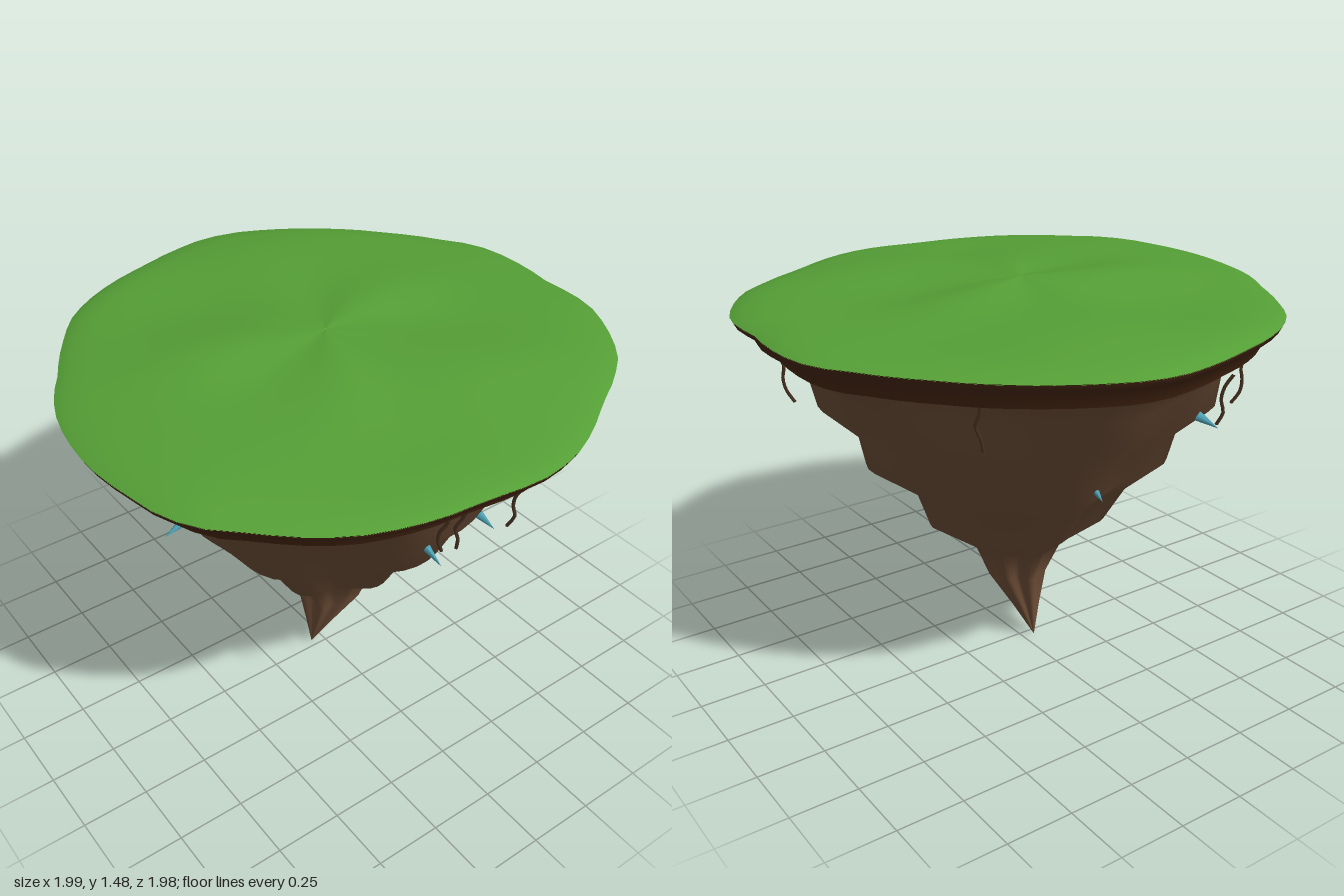
import * as THREE from 'three';

const SEG = 72;

// Island outline seen from above, as x, z pairs
const OUTLINE = [
  0.995, -0.1, 0.97, -0.23, 0.89, -0.4, 0.81, -0.52, 0.71, -0.69, 0.64, -0.78, 0.49, -0.89,
  0.35, -0.96, 0.26, -0.98, 0.09, -0.98, -0.2, -0.995, -0.31, -0.97, -0.41, -0.9, -0.61, -0.75,
  -0.82, -0.53, -0.92, -0.37, -0.98, -0.24, -1, -0.12, -0.98, 0.02, -0.93, 0.2, -0.8, 0.51,
  -0.73, 0.6, -0.57, 0.72, -0.4, 0.82, -0.29, 0.89, -0.19, 0.935, 0.03, 0.98, 0.14, 0.985,
  0.33, 0.96, 0.48, 0.93, 0.59, 0.87, 0.68, 0.775, 0.82, 0.625, 0.89, 0.51, 0.93, 0.4,
  0.957, 0.29, 0.97, 0.13,
];

const TAU = Math.PI * 2;
const polar = [];
for (let i = 0; i < OUTLINE.length; i += 2) {
  const x = OUTLINE[i], z = OUTLINE[i + 1];
  polar.push({ a: (Math.atan2(z, x) + TAU) % TAU, r: Math.hypot(x, z) });
}
polar.sort((p, q) => p.a - q.a);

// Outline radius at an angle
function rim(angle) {
  const a = (angle + TAU) % TAU;
  let k = polar.findIndex((p) => p.a > a);
  if (k < 0) k = 0;
  const q = polar[k], p = polar[(k + polar.length - 1) % polar.length];
  const span = (q.a - p.a + TAU) % TAU;
  return THREE.MathUtils.lerp(p.r, q.r, ((a - p.a + TAU) % TAU) / span);
}

// Closed rings joined into a smooth skin; point(ring, angle) returns [x, y, z]
function loft(rings, point) {
  const pos = [], index = [];
  rings.forEach((ring, i) => {
    for (let j = 0; j < SEG; j++) {
      pos.push(...point(ring, (j / SEG) * TAU, i));
      if (i === rings.length - 1) continue;
      const a = i * SEG + j, b = i * SEG + ((j + 1) % SEG);
      index.push(a, b, a + SEG, b, b + SEG, a + SEG);
    }
  });
  const g = new THREE.BufferGeometry();
  g.setAttribute('position', new THREE.Float32BufferAttribute(pos, 3));
  g.setIndex(index);
  g.computeVertexNormals();
  return g;
}

function material(name, color) {
  const m = new THREE.MeshStandardMaterial({ color });
  m.name = name;
  return m;
}

export function createModel() {
  const model = new THREE.Group();
  model.name = 'floatingIsland';
  const grassMat = material('grass green', 0x559f36);
  const soilMat = material('dark soil', 0x4a2814);
  const rockMat = material('brown rock', 0x73523a);
  const rootMat = material('root brown', 0x4a3322);
  const crystalMat = material('crystal teal', 0x4fa6ba);

  const add = (name, geometry, mat, parent = model) => {
    const mesh = new THREE.Mesh(geometry, mat);
    mesh.name = name;
    parent.add(mesh);
    return mesh;
  };

  // Gently rolling grass: [scale, height]
  const turf = [[0.001, 1.48], [0.15, 1.477], [0.3, 1.47], [0.45, 1.462], [0.6, 1.453],
    [0.75, 1.443], [0.88, 1.432], [0.96, 1.418], [1, 1.4]];
  add('grassTop', loft(turf, ([s, y], a) => {
    const r = rim(a) * s;
    const wave = 0.011 * Math.sin(Math.PI * s) * (Math.sin(3 * a + 5 * s) + 0.6 * Math.sin(5 * a - 4 * s));
    return [r * Math.cos(a), y + wave, r * Math.sin(a)];
  }), grassMat);

  // Soil band with a flat underside; the repeated ring keeps its edge sharp
  const soil = [[1, 1.402], [0.99, 1.38], [0.945, 1.355], [0.918, 1.3], [0.918, 1.3], [0.7, 1.3]];
  add('soilBand', loft(soil, ([s, y], a) =>
    [rim(a) * s * Math.cos(a), y, rim(a) * s * Math.sin(a)]), soilMat);

  // Stepped hanging rock: [radius, height, centre x, centre z, fluting]
  const rock = [
    [0.89, 1.305, 0, 0, 0], [0.76, 1.185, 0, 0, 0.02], [0.73, 1.075, 0, 0, 0.025],
    [0.59, 0.95, 0.01, 0, 0.03], [0.555, 0.83, 0.01, -0.01, 0.035], [0.395, 0.7, 0.01, 0.01, 0.045],
    [0.325, 0.56, 0.015, -0.01, 0.06], [0.16, 0.43, 0.015, 0, 0.09], [0.11, 0.3, 0.02, 0, 0.11],
    [0.055, 0.15, -0.005, 0.025, 0.08], [0.001, 0, -0.03, 0.05, 0],
  ];
  add('hangingRock', loft(rock, ([radius, y, cx, cz, flute], a, i) => {
    const shape = THREE.MathUtils.lerp(1, rim(a), Math.max(0, 1 - i / 6));
    const bumps = flute * (Math.sin(8 * a + 0.5) + 0.6 * Math.sin(5 * a + 0.5 * i));
    const r = radius * shape * (1 + bumps);
    return [cx + r * Math.cos(a), y, cz + r * Math.sin(a)];
  }), rockMat);

  // Crystals poking out of the rock: base and tip
  const crystals = new THREE.Group();
  crystals.name = 'crystals';
  model.add(crystals);
  const spikes = [
    [0.1, 1.02, 0.65, 0.1, 0.98, 0.74],
    [0.62, 0.995, -0.18, 0.7, 0.955, -0.2],
    [0.59, 0.925, 0.02, 0.685, 0.89, 0.02],
    [-0.66, 1.085, 0.28, -0.73, 1.055, 0.31],
    [-0.53, 0.865, -0.07, -0.6, 0.835, -0.08],
  ];
  for (const [x, y, z, tx, ty, tz] of spikes) {
    const base = new THREE.Vector3(x, y, z), dir = new THREE.Vector3(tx, ty, tz).sub(base);
    const length = dir.length();
    const cone = new THREE.ConeGeometry(0.02, length, 6).translate(0, length / 2, 0);
    const crystal = add('crystal', cone, crystalMat, crystals);
    crystal.position.copy(base);
    crystal.quaternion.setFromUnitVectors(new THREE.Vector3(0, 1, 0), dir.normalize());
  }

  // Thin wavy roots hanging below the soil: x, z at the top
  const roots = new THREE.Group();
  roots.name = 'roots';
  model.add(roots);
  const hangs = [[0.86, 0.18], [0.88, 0.13], [0.9, -0.09], [0.16, -0.88],
    [-0.62, -0.59], [-0.875, 0.2], [-0.755, 0.4]];
  hangs.forEach(([x, z], i) => {
    const points = [0, 1, 2, 3, 4].map((k) => {
      const inward = 1 - 0.011 * k, sway = 0.008 * Math.sin(k * 1.9 + i);
      return new THREE.Vector3(x * inward + sway, 1.31 - 0.045 * k, z * inward - sway);
    });
    add('root', new THREE.TubeGeometry(new THREE.CatmullRomCurve3(points), 12, 0.006, 5), rootMat, roots);
  });

  return model;
}
